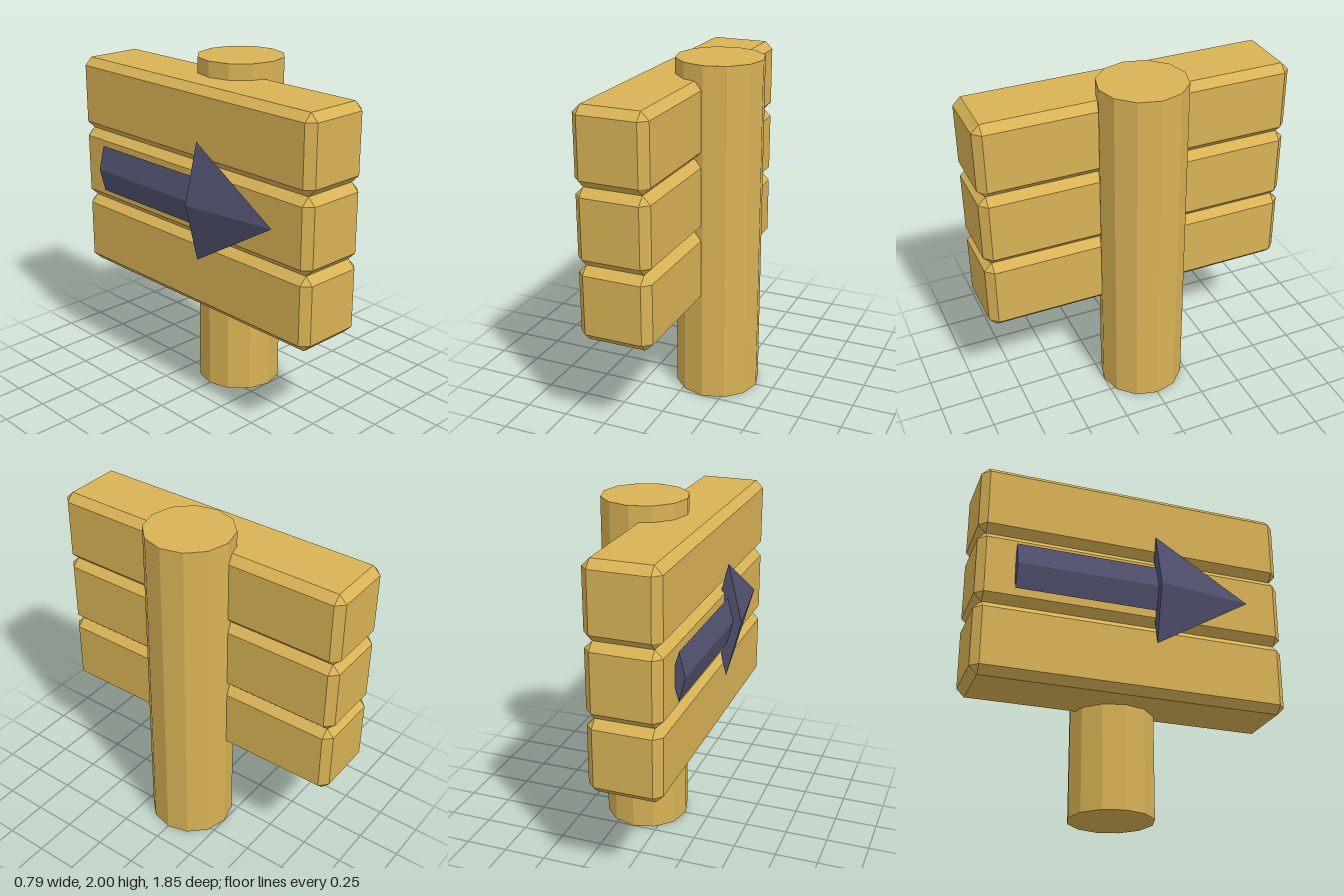
import * as THREE from 'three';
import { ConvexGeometry } from 'three/addons/geometries/ConvexGeometry.js';

const wood = new THREE.MeshStandardMaterial({ color: 0xd8b255, flatShading: true });
const paint = new THREE.MeshStandardMaterial({ color: 0x515170, flatShading: true });

// Box with every edge cut at 45 degrees, leaving triangular corners
function chamferedBox(w, h, d, c) {
  const points = [];
  for (const sx of [-1, 1]) for (const sy of [-1, 1]) for (const sz of [-1, 1]) {
    const x = w / 2, y = h / 2, z = d / 2;
    points.push(
      new THREE.Vector3(sx * x, sy * (y - c), sz * (z - c)),
      new THREE.Vector3(sx * (x - c), sy * y, sz * (z - c)),
      new THREE.Vector3(sx * (x - c), sy * (y - c), sz * z));
  }
  return new ConvexGeometry(points);
}

// Four-sided bar or spike along +z with a flattened diamond section
function diamondBar(halfX, halfY, z0, z1, endScale) {
  const g = new THREE.CylinderGeometry(endScale, 1, z1 - z0, 4);
  g.rotateX(Math.PI / 2);
  g.scale(halfX, halfY, 1);
  g.translate(0, 0, (z0 + z1) / 2);
  return g;
}

export function createModel() {
  const group = new THREE.Group();
  const add = (name, geometry, material, x, y, z, parent = group) => {
    const mesh = new THREE.Mesh(geometry, material);
    mesh.name = name;
    mesh.position.set(x, y, z);
    parent.add(mesh);
  };

  // Twelve-sided post, with corners on the x and z axes
  add('post', new THREE.CylinderGeometry(0.25, 0.25, 2, 12), wood, 0.142, 1, 0);

  // Three stacked planks
  const plankHeight = 0.433;
  const plank = chamferedBox(0.425, plankHeight, 1.85, 0.045);
  for (let i = 0; i < 3; i++) {
    add(`plank${i + 1}`, plank, wood, -0.08, 0.61 + plankHeight * (i + 0.5), 0);
  }

  // Direction arrow half sunk into the planks, pointing to the front
  const arrow = new THREE.Group();
  arrow.name = 'arrow';
  arrow.position.set(-0.312, 1.265, 0);
  group.add(arrow);
  add('arrowShaft', diamondBar(0.036, 0.14, -0.71, 0.13, 1), paint, 0, 0, 0, arrow);
  add('arrowHead', diamondBar(0.085, 0.345, 0.12, 0.69, 0), paint, 0, 0, 0, arrow);

  return group;
}
